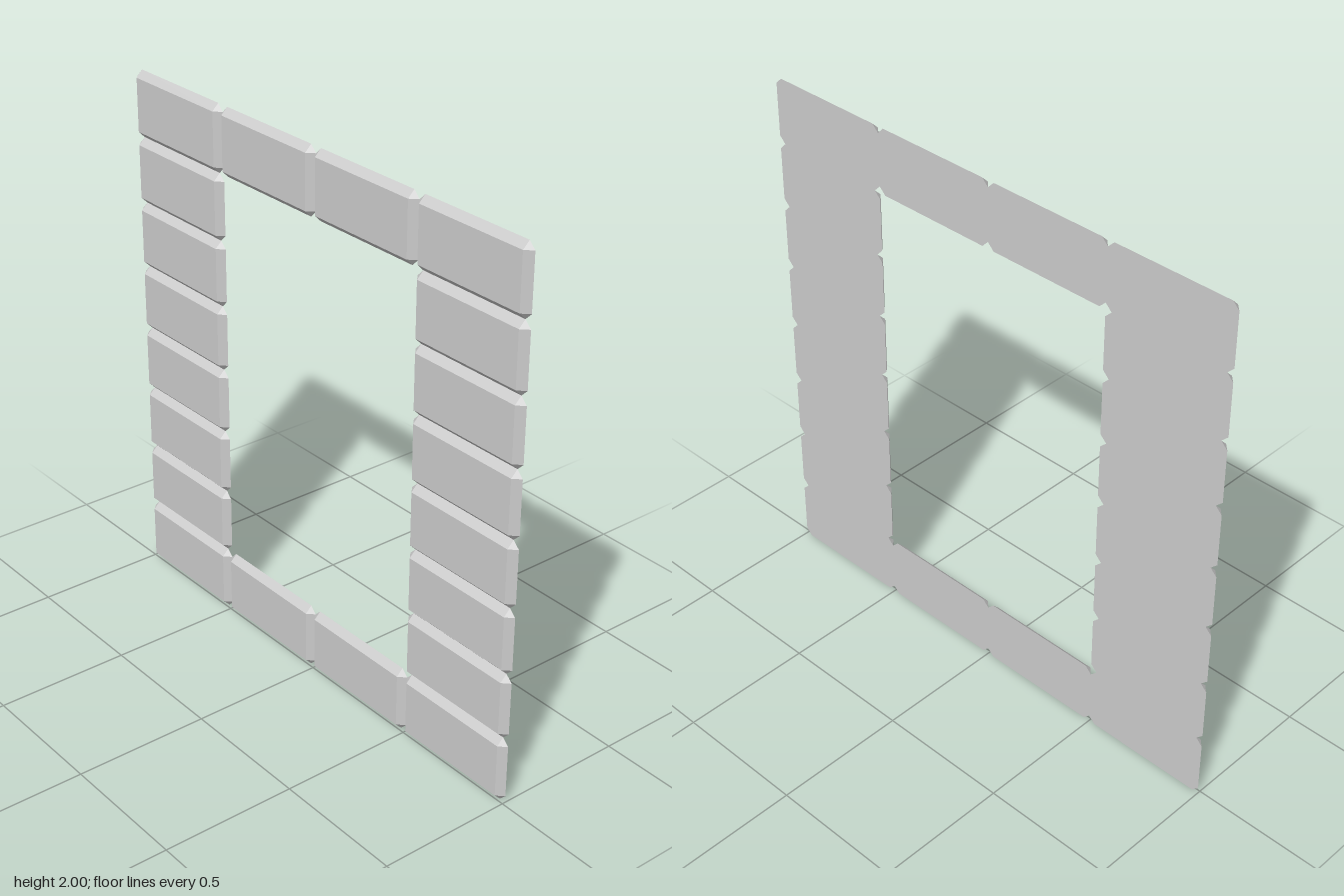
import * as THREE from 'three';
import { ConvexGeometry } from 'three/addons/geometries/ConvexGeometry.js';

const W = 0.5, H = 0.25, DEPTH = 0.025, BEVEL = 0.025;

// Stone block: flat back with clipped corners, front face inset by the bevel
function blockGeometry() {
  const points = [];
  const x = W / 2, y = H / 2, z = DEPTH / 2;
  for (const sx of [-1, 1]) {
    for (const sy of [-1, 1]) {
      points.push(
        new THREE.Vector3(sx * (x - BEVEL), sy * (y - BEVEL), z),
        new THREE.Vector3(sx * x, sy * (y - BEVEL), -z),
        new THREE.Vector3(sx * (x - BEVEL), sy * y, -z)
      );
    }
  }
  return new ConvexGeometry(points);
}

export function createModel() {
  const model = new THREE.Group();
  model.name = 'blockFrame';
  const geometry = blockGeometry();
  const material = new THREE.MeshStandardMaterial({ color: 0xcccccc, flatShading: true });

  // Border of a grid 4 blocks wide and 8 high
  const columns = 4, rows = 8;
  for (let row = 0; row < rows; row++) {
    for (let col = 0; col < columns; col++) {
      const side = col === 0 || col === columns - 1;
      const top = row === rows - 1, bottom = row === 0;
      if (!side && !top && !bottom) continue;
      const block = new THREE.Mesh(geometry, material);
      block.name = top ? 'topBlock' : bottom ? 'bottomBlock' : col === 0 ? 'rightBlock' : 'leftBlock';
      block.position.set((col + 0.5) * W - 1, (row + 0.5) * H, 0);
      model.add(block);
    }
  }
  return model;
}
